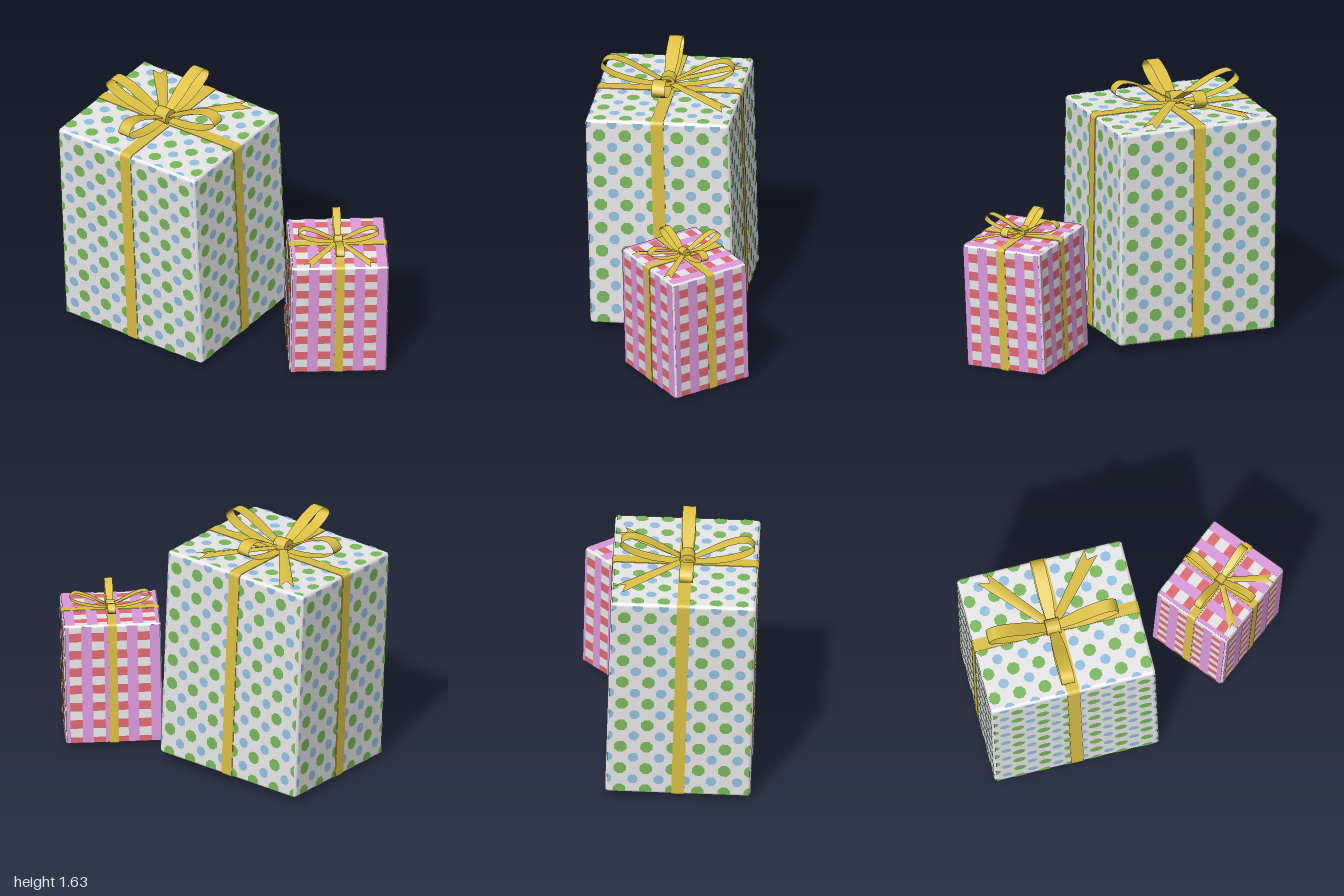
import * as THREE from 'three';
import { RoundedBoxGeometry } from 'three/addons/geometries/RoundedBoxGeometry.js';
import { mergeGeometries } from 'three/addons/utils/BufferGeometryUtils.js';

const mat = (name, color, side = THREE.FrontSide) => {
  const m = new THREE.MeshStandardMaterial({ color, side });
  m.name = name;
  return m;
};

const M = {
  paper: mat('white paper', 0xececec),
  green: mat('green dots', 0x7ab85c),
  blue: mat('blue dots', 0x92bfe0),
  pink: mat('pink stripes', 0xdc9ade),
  red: mat('red checks', 0xe06a72),
  gold: mat('gold band', 0xdabf45),
  bow: mat('gold bow', 0xdcc044, THREE.DoubleSide),
};

function add(group, name, geometry, material) {
  const mesh = new THREE.Mesh(geometry, material);
  mesh.name = name;
  group.add(mesh);
  return mesh;
}

// The six faces of a box: turn about x, turn about y, half width, half height, distance
const facesOf = (w, h, d) => [
  { rx: 0, ry: 0, a: w / 2, b: h / 2, n: d / 2, kind: 'z' },
  { rx: 0, ry: Math.PI, a: w / 2, b: h / 2, n: d / 2, kind: 'z' },
  { rx: 0, ry: Math.PI / 2, a: d / 2, b: h / 2, n: w / 2, kind: 'x' },
  { rx: 0, ry: -Math.PI / 2, a: d / 2, b: h / 2, n: w / 2, kind: 'x' },
  { rx: -Math.PI / 2, ry: 0, a: w / 2, b: d / 2, n: h / 2, kind: 'y' },
  { rx: Math.PI / 2, ry: 0, a: w / 2, b: d / 2, n: h / 2, kind: 'y' },
];

const onFace = (g, f, lift) => g.translate(0, 0, f.n + lift).rotateX(f.rx).rotateY(f.ry);

// Octagonal dot, cut off at the edges of its face
function dot(f, a, b, r) {
  const g = new THREE.CircleGeometry(r, 8, Math.PI / 8).translate(a, b, 0);
  const p = g.attributes.position, A = f.a - 0.012, B = f.b - 0.012;
  for (let i = 0; i < p.count; i++) {
    p.setX(i, THREE.MathUtils.clamp(p.getX(i), -A, A));
    p.setY(i, THREE.MathUtils.clamp(p.getY(i), -B, B));
  }
  return onFace(g, f, 0.0015);
}

// Rectangular stripe, cut off at the edges of its face
function stripe(list, f, a, b, w, h, lift) {
  const A = f.a - 0.008, B = f.b - 0.008;
  const a0 = Math.max(a - w / 2, -A), a1 = Math.min(a + w / 2, A);
  const b0 = Math.max(b - h / 2, -B), b1 = Math.min(b + h / 2, B);
  if (a1 - a0 < 0.004 || b1 - b0 < 0.004) return;
  const g = new THREE.PlaneGeometry(a1 - a0, b1 - b0).translate((a0 + a1) / 2, (b0 + b1) / 2, 0);
  list.push(onFace(g, f, lift));
}

// Band running round the box, as a rounded slab standing just proud of the paper
function band(w, h, r, width) {
  const x = w / 2 + 0.004, y = h / 2 + 0.004;
  const s = new THREE.Shape();
  s.moveTo(-x + r, -y);
  s.lineTo(x - r, -y).absarc(x - r, -y + r, r, -Math.PI / 2, 0);
  s.lineTo(x, y - r).absarc(x - r, y - r, r, 0, Math.PI / 2);
  s.lineTo(-x + r, y).absarc(-x + r, y - r, r, Math.PI / 2, Math.PI);
  s.lineTo(-x, -y + r).absarc(-x + r, -y + r, r, Math.PI, Math.PI * 1.5);
  return new THREE.ExtrudeGeometry(s, { depth: width, bevelEnabled: false, curveSegments: 4 })
    .translate(0, 0, -width / 2);
}

// Bow: four loops, two notched tails and a knot
function makeBow() {
  const bow = new THREE.Group();
  bow.name = 'bow';
  const path = new THREE.CatmullRomCurve3([
    [0.02, 0.02], [0.17, 0.03], [0.35, 0.08], [0.42, 0.135], [0.375, 0.188],
    [0.27, 0.17], [0.15, 0.11], [0.02, 0.04],
  ].map(([x, y]) => new THREE.Vector3(x, y, 0)));
  const loop = new THREE.PlaneGeometry(1, 1, 22, 1);
  const p = loop.attributes.position;
  for (let i = 0; i < p.count; i++) {
    const t = p.getX(i) + 0.5, c = path.getPoint(t);
    const width = 0.055 + 0.03 * Math.min(1, 2 * Math.sin(Math.PI * t));
    p.setXYZ(i, c.x, c.y, p.getY(i) * width);
  }
  loop.computeVertexNormals();
  for (let k = 0; k < 4; k++) add(bow, 'bowLoop', loop, M.bow).rotation.y = k * Math.PI / 2;

  const tail = new THREE.PlaneGeometry(1, 1, 6, 2);
  const q = tail.attributes.position;
  for (let i = 0; i < q.count; i++) {
    const t = q.getX(i) + 0.5, side = q.getY(i) * 2, mid = 1 - Math.abs(side);
    const reach = 0.55 * t - (t > 0.99 ? 0.06 * mid : 0);
    q.setXYZ(i, reach, 0.035 - 0.025 * t + 0.012 * mid, -side * (0.025 + 0.02 * t));
  }
  tail.computeVertexNormals();
  for (const s of [-1, 1]) add(bow, 'bowTail', tail, M.bow).rotation.y = s * 0.69;

  const knot = new THREE.CylinderGeometry(0.05, 0.05, 0.09, 12).rotateX(Math.PI / 2).translate(0, 0.042, 0);
  add(bow, 'knot', knot, M.bow);
  return bow;
}

// Gift standing on its own tilted axes; top is the middle of the lid
function makeGift(name, { size: [w, h, d], r, top, across, along, bandWidth, bowScale, bowTurn, bowAt }) {
  const gift = new THREE.Group();
  gift.name = name;
  add(gift, 'wrappedBox', new RoundedBoxGeometry(w, h, d, 3, r), M.paper);
  add(gift, 'bandAcross', band(w, h, r, bandWidth), M.gold);
  add(gift, 'bandAlong', band(d, h, r, bandWidth).rotateY(Math.PI / 2), M.gold);
  const bow = makeBow();
  bow.scale.setScalar(bowScale);
  bow.rotation.y = bowTurn;
  bow.position.set(bowAt[0], h / 2, bowAt[1]);
  gift.add(bow);

  const u = new THREE.Vector3(...across).normalize();
  const n = new THREE.Vector3(...along).cross(u).normalize();
  const v = new THREE.Vector3().crossVectors(u, n);
  gift.quaternion.setFromRotationMatrix(new THREE.Matrix4().makeBasis(u, n, v));
  gift.position.set(...top).addScaledVector(n, -h / 2);
  return gift;
}

// Staggered green and blue dots on every face
function addDots(gift, w, h, d) {
  const green = [], blue = [];
  for (const f of facesOf(w, h, d)) {
    const a0 = f.kind === 'x' ? 0.04 * Math.sign(f.ry) : -0.04;
    const b0 = f.kind === 'y' ? 0 : f.b - 0.1;
    const sa = 0.163, sb = f.kind === 'y' ? 0.163 : 0.157;
    const place = (list, a, b, r) => {
      if (Math.abs(a) < f.a + 0.01 && Math.abs(b) < f.b + 0.01) list.push(dot(f, a, b, r));
    };
    for (let i = -5; i <= 5; i++) for (let j = -10; j <= 10; j++) {
      place(green, a0 + i * sa, b0 + j * sb, 0.042);
      place(blue, a0 + (i + 0.5) * sa, b0 + (j + 0.5) * sb, 0.034);
    }
  }
  add(gift, 'greenDots', mergeGeometries(green), M.green);
  add(gift, 'blueDots', mergeGeometries(blue), M.blue);
}

// Red rows crossed by pink stripes on every face
function addChecks(gift, w, h, d) {
  const red = [], pink = [];
  for (const f of facesOf(w, h, d)) {
    const a0 = f.kind === 'x' ? 0 : -0.02, sa = f.kind === 'x' ? 0.13 : 0.1425;
    const b0 = f.kind === 'y' ? 0.065 : f.b - 0.08, sb = f.kind === 'y' ? 0.13 : 0.117;
    for (let j = -8; j <= 4; j++) stripe(red, f, 0, b0 + j * sb, 2, 0.058, 0.001);
    for (let i = -3; i <= 3; i++) stripe(pink, f, a0 + i * sa, 0, 0.066, 2, 0.0022);
  }
  add(gift, 'redRows', mergeGeometries(red), M.red);
  add(gift, 'pinkStripes', mergeGeometries(pink), M.pink);
}

export function createModel() {
  const model = new THREE.Group();
  model.name = 'gifts';

  const big = [0.91, 1.385, 1.06];
  const tall = makeGift('dottedGift', {
    size: big, r: 0.025, top: [-0.215, 1.43, -0.337],
    across: [0.85, 0.025, -0.33], along: [0.38, 0.025, 0.99],
    bandWidth: 0.08, bowScale: 1, bowTurn: 0, bowAt: [-0.01, -0.025],
  });
  addDots(tall, ...big);

  const small = [0.61, 0.8, 0.54];
  const short = makeGift('checkedGift', {
    size: small, r: 0.018, top: [0.432, 0.82, 0.61],
    across: [0.535, -0.01, 0.295], along: [-0.26, -0.02, 0.475],
    bandWidth: 0.055, bowScale: 0.6, bowTurn: -Math.PI / 2, bowAt: [0, 0],
  });
  addChecks(short, ...small);

  model.add(tall, short);
  return model;
}
